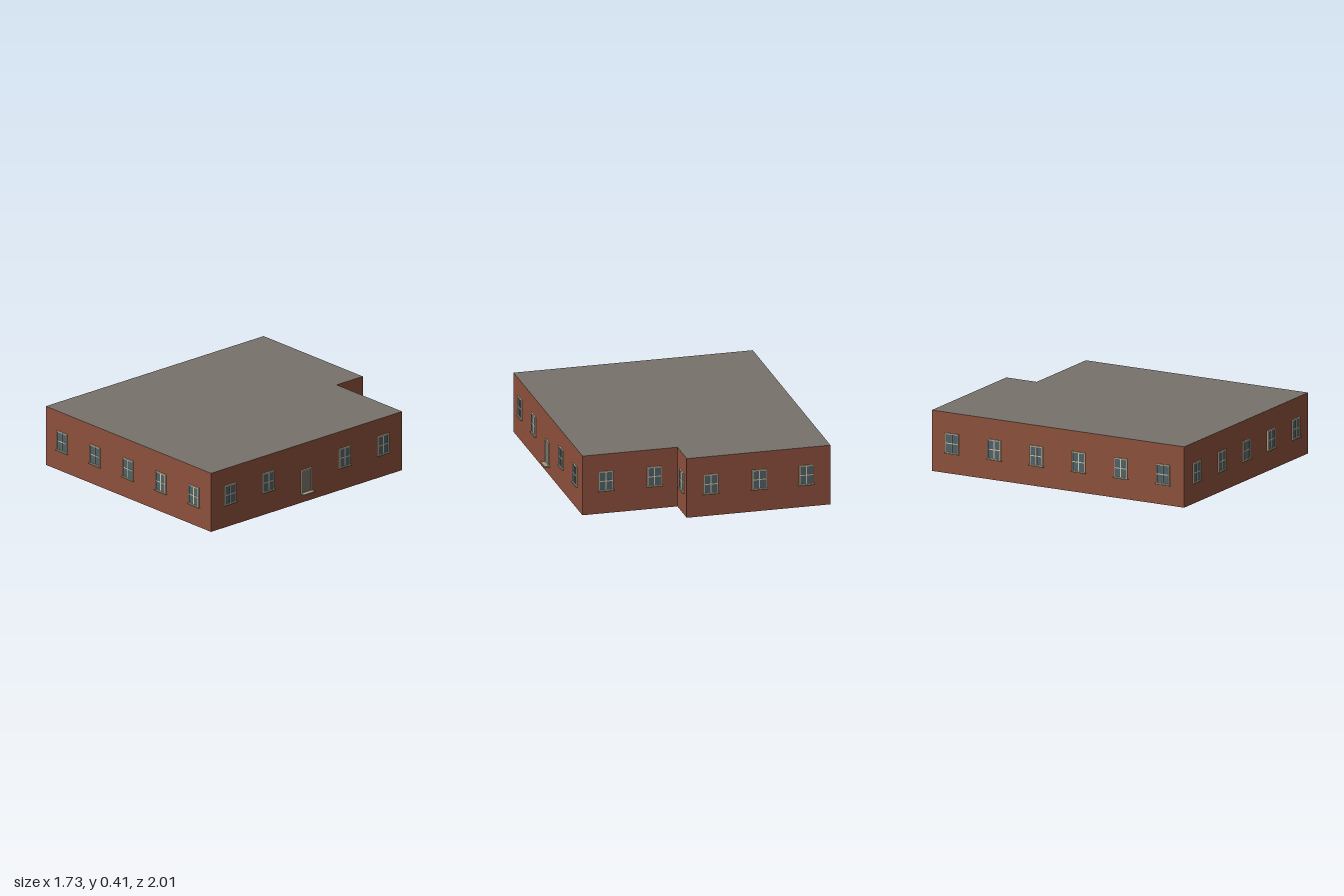
import * as THREE from 'three';

const HEIGHT = 0.413;

// Footprint corners [x, z], running counter-clockwise seen from above
const CORNERS = [
  [-0.855, 0.918], [0.775, 0.993], [0.85, -0.69],
  [0.203, -0.72], [0.214, -0.95], [-0.765, -0.995],
];

// For each wall: coordinate measured along (0 = x, 1 = z), window sill height, window centres
const WALLS = [
  { name: 'frontWall', axis: 0, base: 0.14, windows: [-0.69, -0.365, -0.04, 0.285, 0.61] },
  { name: 'leftWall', axis: 1, base: 0.158, windows: [0.825, 0.49, -0.18, -0.52], door: 0.155 },
  { name: 'rearStepWall', axis: 0, base: 0.158, windows: [0.36, 0.69] },
  { name: 'notchWall', axis: 1, base: 0.154, windows: [-0.838] },
  { name: 'rearWall', axis: 0, base: 0.154, windows: [0.05, -0.28, -0.6] },
  { name: 'rightWall', axis: 1, base: 0.138, windows: [-0.84, -0.52, -0.2, 0.12, 0.44, 0.76] },
];

function material(name, color, side = THREE.FrontSide) {
  const m = new THREE.MeshStandardMaterial({ color, side });
  m.name = name;
  return m;
}

export function createModel() {
  const brick = material('brick', 0x8d503c, THREE.DoubleSide);
  const roofing = material('roofing', 0x77726a, THREE.DoubleSide);
  const cream = material('cream trim', 0xcfc5a4);
  const stone = material('sill stone', 0xa2977b);
  const glass = material('glass', 0x4f626a);
  const doorGrey = material('door grey', 0x7a756d);

  const model = new THREE.Group();
  model.name = 'building';

  // Box whose back face sits at depth z0
  function box(parent, name, mat, w, h, d, x, y, z0) {
    const mesh = new THREE.Mesh(new THREE.BoxGeometry(w, h, d), mat);
    mesh.name = name;
    mesh.position.set(x, y, z0 + d / 2);
    parent.add(mesh);
  }

  // Four-pane window standing on y = 0, facing +z
  function makeWindow() {
    const g = new THREE.Group();
    g.name = 'window';
    const w = 0.1, h = 0.136, t = 0.007;
    box(g, 'panes', glass, w - t, h - t, 0.004, 0, h / 2, 0.001);
    for (const s of [-1, 1]) {
      box(g, 'frameSide', cream, t, h, 0.008, s * (w - t) / 2, h / 2, 0.001);
      box(g, 'frameRail', cream, w - 2 * t, t, 0.008, 0, h / 2 + s * (h - t) / 2, 0.001);
    }
    box(g, 'mullion', cream, 0.007, h - 2 * t, 0.006, 0, h / 2, 0.001);
    box(g, 'crossbar', cream, w - 2 * t, 0.007, 0.006, 0, h / 2, 0.001);
    box(g, 'sill', stone, 0.112, 0.006, 0.014, 0, 0, 0.001);
    return g;
  }

  // Framed door with a projecting step, base of the step at y = 0
  function makeDoor() {
    const g = new THREE.Group();
    g.name = 'door';
    const w = 0.09, h = 0.16, t = 0.006;
    box(g, 'doorLeaf', doorGrey, w - t, h - t, 0.004, 0, h / 2 + 0.006, 0.001);
    for (const s of [-1, 1]) {
      box(g, 'jamb', cream, t, h, 0.008, s * (w - t) / 2, h / 2 + 0.006, 0.001);
    }
    box(g, 'lintel', cream, w, t, 0.008, 0, h + 0.006, 0.001);
    box(g, 'knob', cream, 0.005, 0.005, 0.008, 0.028, 0.075, 0.001);
    box(g, 'doorStep', stone, 0.1, 0.008, 0.036, 0, 0.004, 0.001);
    return g;
  }

  // Walls with their openings
  WALLS.forEach((wall, i) => {
    const a = CORNERS[i], b = CORNERS[(i + 1) % CORNERS.length];
    const dx = b[0] - a[0], dz = b[1] - a[1];
    const angle = Math.atan2(-dz, dx);
    const mesh = new THREE.Mesh(new THREE.PlaneGeometry(Math.hypot(dx, dz), HEIGHT), brick);
    mesh.name = wall.name;
    mesh.position.set((a[0] + b[0]) / 2, HEIGHT / 2, (a[1] + b[1]) / 2);
    mesh.rotation.y = angle;
    model.add(mesh);

    // Place a fitting on the wall line at the given coordinate
    const place = (fitting, at, y) => {
      const t = (at - a[wall.axis]) / (b[wall.axis] - a[wall.axis]);
      fitting.position.set(a[0] + dx * t, y, a[1] + dz * t);
      fitting.rotation.y = angle;
      model.add(fitting);
    };
    for (const at of wall.windows) place(makeWindow(), at, wall.base);
    if (wall.door !== undefined) place(makeDoor(), wall.door, 0.06);
  });

  // Flat roof; the underside of the shell stays open
  const outline = new THREE.Shape(CORNERS.map(([x, z]) => new THREE.Vector2(x, -z)));
  const roof = new THREE.Mesh(new THREE.ShapeGeometry(outline), roofing);
  roof.name = 'roof';
  roof.rotation.x = -Math.PI / 2;
  roof.position.y = HEIGHT;
  model.add(roof);

  return model;
}
